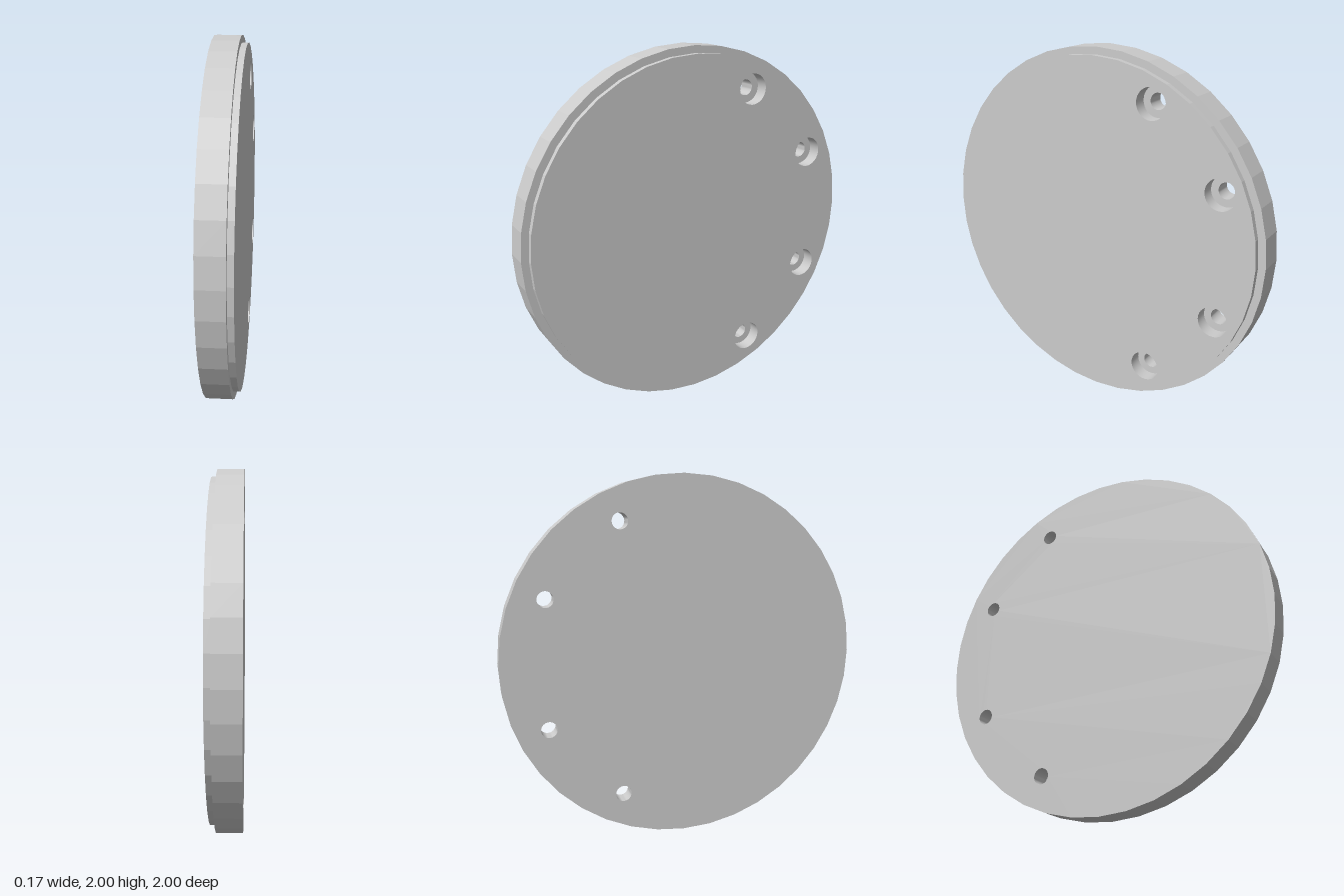
import * as THREE from 'three';
import { toCreasedNormals } from 'three/addons/utils/BufferGeometryUtils.js';

const BACK = -0.0875, SHOULDER = 0.055, FRONT = 0.0875, FLOOR = 0.0125;
const R_DISC = 1, R_STEP = 0.96, R_BORE = 0.085, R_HOLE = 0.044;
const SIDES = 40, HOLE_SIDES = 32;
const HOLES = [[0.35, 0.75], [0.75, 0.35], [0.75, -0.35], [0.35, -0.75]];

// Regular polygon outline around (cx, cy)
function ring(cx, cy, r, n) {
  return Array.from({ length: n }, (_, i) => {
    const a = (i / n) * Math.PI * 2;
    return new THREE.Vector2(cx + r * Math.cos(a), cy + r * Math.sin(a));
  });
}

// Flat disc pierced by the four holes
function pierced(radius, holeRadius) {
  const shape = new THREE.Shape(ring(0, 0, radius, SIDES));
  for (const [x, y] of HOLES) shape.holes.push(new THREE.Path(ring(x, y, holeRadius, HOLE_SIDES)));
  return new THREE.ShapeGeometry(shape);
}

// Profile of [radius, z] pairs turned around the z axis
function turned(profile, sides) {
  const points = profile.map(([r, z]) => new THREE.Vector2(r, z));
  return new THREE.LatheGeometry(points, sides).rotateX(Math.PI / 2);
}

export function createModel() {
  const model = new THREE.Group();
  const plate = new THREE.Group();
  plate.name = 'coverPlate';
  const flat = new THREE.MeshStandardMaterial({ color: 0xcccccc, flatShading: true });
  const smooth = new THREE.MeshStandardMaterial({ color: 0xcccccc });

  const add = (name, geometry, material) => {
    const mesh = new THREE.Mesh(geometry, material);
    mesh.name = name;
    plate.add(mesh);
    return mesh;
  };

  // Faceted rim with the stepped shoulder
  add('steppedRim', turned([[R_DISC, BACK], [R_DISC, SHOULDER], [R_STEP, SHOULDER], [R_STEP, FRONT]], SIDES), flat);

  // Outer faces
  add('boredFace', pierced(R_STEP, R_BORE).translate(0, 0, FRONT), flat);
  add('plainFace', pierced(R_DISC, R_HOLE).rotateX(Math.PI).translate(0, 0, BACK), flat);

  // Counterbored screw holes
  const bore = toCreasedNormals(
    turned([[R_BORE, FRONT], [R_BORE, FLOOR], [R_HOLE, FLOOR], [R_HOLE, BACK]], HOLE_SIDES), 0.6);
  HOLES.forEach(([x, y], i) => add('screwHole' + (i + 1), bore, smooth).position.set(x, y, 0));

  // Stand the disc on edge, bored face towards +x
  plate.rotation.y = Math.PI / 2;
  plate.position.y = 1;
  model.add(plate);
  return model;
}
